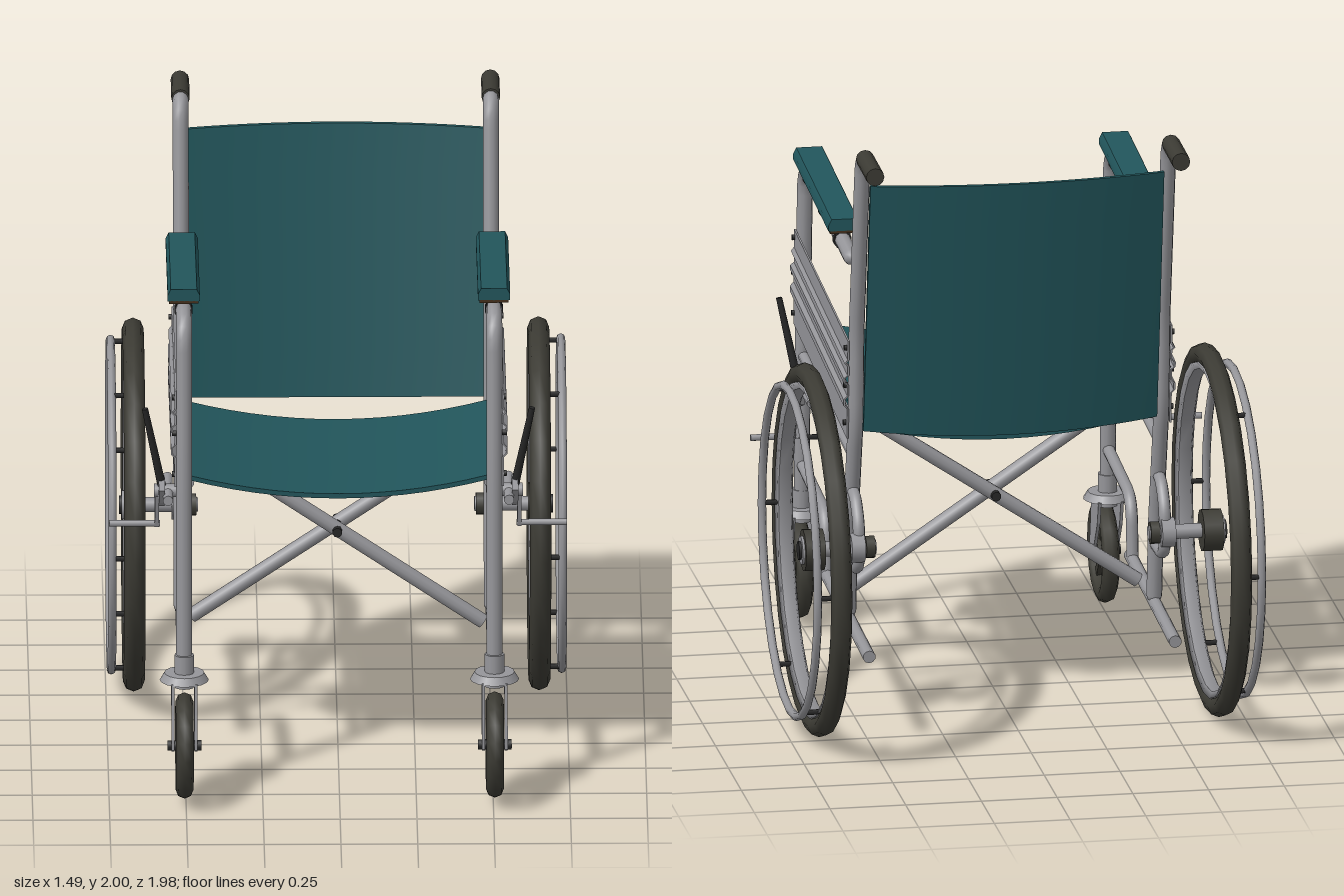
import * as THREE from 'three';

const mat = (name, color) => {
  const m = new THREE.MeshStandardMaterial({ color });
  m.name = name;
  return m;
};
const V = (x, y, z) => new THREE.Vector3(x, y, z);

export function createModel() {
  const root = new THREE.Group();
  root.name = 'wheelchair';
  const metal = mat('grey metal', 0x96969a);
  const rubber = mat('dark rubber', 0x3c3b34);
  const fabric = mat('teal fabric', 0x22565c);
  const black = mat('black plastic', 0x262626);
  const brown = mat('brown pad base', 0x45301c);

  const add = (name, geo, material, parent = root) => {
    const m = new THREE.Mesh(geo, material);
    m.name = name;
    parent.add(m);
    return m;
  };

  // Straight capped rod between two points
  const rod = (name, a, b, r, material, parent, sides = 10, r2 = r) => {
    const d = b.clone().sub(a);
    const m = add(name, new THREE.CylinderGeometry(r2, r, d.length(), sides), material, parent);
    m.position.copy(a).add(b).multiplyScalar(0.5);
    m.quaternion.setFromUnitVectors(V(0, 1, 0), d.normalize());
    return m;
  };

  // Bent tube through [z, y] points at a fixed x, with rounded corners
  const bentTube = (name, x, pts, r, bend, parent) => {
    const p = pts.map(([z, y]) => V(x, y, z));
    const path = new THREE.CurvePath();
    let from = p[0];
    for (let i = 1; i < p.length - 1; i++) {
      const toward = (q) => p[i].clone().add(q.clone().sub(p[i]).setLength(Math.min(bend, q.distanceTo(p[i]) * 0.45)));
      const a = toward(p[i - 1]), b = toward(p[i + 1]);
      path.add(new THREE.LineCurve3(from, a));
      path.add(new THREE.QuadraticBezierCurve3(a, p[i], b));
      from = b;
    }
    path.add(new THREE.LineCurve3(from, p[p.length - 1]));
    add(name, new THREE.TubeGeometry(path, 56, r, 10), metal, parent);
    for (const e of [p[0], p[p.length - 1]]) {
      add(name + 'End', new THREE.SphereGeometry(r, 10, 6), metal, parent).position.copy(e);
    }
  };

  // Flat plate from [z, y] points, facing sideways
  const plate = (name, pts, x, thick, material, parent) => {
    const shape = new THREE.Shape(pts.map(([z, y]) => new THREE.Vector2(z, y)));
    const g = new THREE.ExtrudeGeometry(shape, { depth: thick, bevelEnabled: false });
    g.translate(0, 0, -thick / 2).rotateY(-Math.PI / 2).translate(x, 0, 0);
    return add(name, g, material, parent);
  };

  // Box whose vertices are moved by a rule
  const warped = (name, seg, rule, material, parent) => {
    const g = new THREE.BoxGeometry(1, 1, 1, ...seg);
    const p = g.attributes.position;
    for (let i = 0; i < p.count; i++) p.setXYZ(i, ...rule(p.getX(i), p.getY(i), p.getZ(i)));
    g.computeVertexNormals();
    return add(name, g, material, parent);
  };

  const ring = (name, R, r, x, material, parent, sides = 28) =>
    add(name, new THREE.TorusGeometry(R, r, 8, sides).rotateY(Math.PI / 2).translate(x, 0, 0), material, parent);
  const lerp = THREE.MathUtils.lerp;

  // Sagging seat and backrest slings
  warped('seat', [14, 1, 4], (x, y, z) => [
    x * 0.98, lerp(1.0, 1.065, z + 0.5) - 0.065 * (1 - 4 * x * x) + y * 0.016, lerp(-0.27, 0.665, z + 0.5),
  ], fabric);
  warped('backrest', [14, 6, 1], (x, y, z) => [
    x * 0.97, lerp(1.0, 1.875, y + 0.5) - 0.02 * (1 - 4 * x * x) * (0.5 - y),
    lerp(-0.335, -0.475, y + 0.5) - 0.055 * (1 - 4 * x * x) + z * 0.016,
  ], fabric);

  // Folding cross brace
  for (const s of [1, -1]) {
    rod('crossBrace', V(-0.475 * s, 0.99, 0.033 * s), V(0.475 * s, 0.35, 0.033 * s), 0.024, metal);
  }
  rod('bracePivot', V(0, 0.67, -0.075), V(0, 0.67, 0.075), 0.016, black);

  for (const s of [1, -1]) {
    const side = new THREE.Group();
    side.name = s > 0 ? 'leftSide' : 'rightSide';
    root.add(side);
    const X = 0.505 * s;

    // Side frame tubes
    bentTube('armFrame', X, [[0.735, 0.4], [0.705, 1.1], [0.665, 1.61], [-0.22, 1.557]], 0.026, 0.1, side);
    bentTube('backPost', X, [[-0.17, 0.34], [-0.2, 0.6], [-0.31, 1.02], [-0.325, 1.32], [-0.45, 1.97], [-0.53, 1.972]], 0.026, 0.07, side);
    bentTube('lowerRail', X, [[0.72, 0.565], [0.27, 0.535], [0.25, 0.335]], 0.02, 0.09, side);
    rod('upperRail', V(X, 0.942, 0.7), V(X, 0.895, -0.26), 0.018, metal, side);
    rod('upperRailSleeve', V(X, 0.936, 0.52), V(X, 0.922, 0.24), 0.025, metal, side);
    rod('bottomRail', V(X, 0.335, 0.295), V(X, 0.302, -0.575), 0.021, metal, side);
    rod('seatRail', V(0.485 * s, 1.045, 0.66), V(0.485 * s, 0.982, -0.26), 0.014, metal, side);
    rod('handGrip', V(X, 1.973, -0.49), V(X, 1.97, -0.69), 0.03, rubber, side, 12);

    // Padded armrest on three clips
    const padY = (z) => 1.628 + (z + 0.095) * 0.056;
    warped('armPad', [2, 2, 6], (x, y, z) => {
      const zz = lerp(-0.095, 0.59, z + 0.5);
      return [X + x * (y > 0.2 ? 0.085 : 0.105), padY(zz) + y * 0.04, zz];
    }, fabric, side);
    warped('armPadBase', [1, 1, 1], (x, y, z) => {
      const zz = lerp(-0.095, 0.59, z + 0.5);
      return [X + x * 0.095, padY(zz) - 0.024 + y * 0.009, zz];
    }, brown, side);
    for (const z of [0.53, 0.23, -0.05]) {
      rod('armClip', V(X, padY(z) - 0.065, z - 0.011), V(X, padY(z) - 0.065, z + 0.011), 0.031, black, side);
      const c = add('armClipStem', new THREE.BoxGeometry(0.05, 0.045, 0.022), black, side);
      c.position.set(X, padY(z) - 0.038, z);
    }

    // Ribbed skirt panel: cross-section swept front to back and tapered
    const profile = [[0, 0], [0.3, 0], [0.34, 0.012], [0.4, 0.012], [0.44, 0], [0.54, 0], [0.57, 0.012], [0.62, 0.012], [0.65, 0], [0.74, 0], [0.77, 0.01], [0.81, 0], [1, 0]];
    const outer = profile.map(([t, d]) => new THREE.Vector2(s * (0.536 + d), t));
    const inner = profile.map(([t, d]) => new THREE.Vector2(s * (0.53 + d), t)).reverse();
    const pg = new THREE.ExtrudeGeometry(new THREE.Shape([...outer, ...inner]), { depth: 1, bevelEnabled: false });
    const pp = pg.attributes.position;
    for (let i = 0; i < pp.count; i++) {
      const t = pp.getY(i), k = pp.getZ(i);
      pp.setY(i, lerp(lerp(0.97, 1.05, k), lerp(1.308, 1.375, k), t));
      pp.setZ(i, lerp(lerp(-0.32, 0.715, k), lerp(-0.342, 0.7, k), t));
    }
    pg.computeVertexNormals();
    add('skirtPanel', pg, metal, side);
    for (const [z, y] of [[0.69, 1.35], [0.7, 1.23], [0.7, 1.09], [-0.32, 1.28], [-0.31, 1.15], [-0.3, 1.02]]) {
      rod('panelBolt', V(s * 0.53, y, z), V(s * 0.545, y, z), 0.01, black, side, 8);
    }

    // Rear wheel with push rim
    const wheel = new THREE.Group();
    wheel.name = 'rearWheel';
    wheel.position.set(0.66 * s, 0.615, -0.375);
    side.add(wheel);
    ring('tire', 0.577, 0.035, 0, rubber, wheel);
    const rimPts = [[0.528, -0.02], [0.55, -0.03], [0.55, 0.03], [0.528, 0.02], [0.528, -0.02]].map(([r, y]) => new THREE.Vector2(r, y));
    const rimMat = metal.clone();
    rimMat.name = 'rim metal';
    rimMat.side = THREE.DoubleSide;
    add('rim', new THREE.LatheGeometry(rimPts, 28).rotateZ(Math.PI / 2), rimMat, wheel);
    ring('pushRim', 0.542, 0.014, 0.073 * s, metal, wheel);
    for (let i = 0; i < 6; i++) {
      const a = (i + 0.5) * Math.PI / 3;
      const y = 0.541 * Math.cos(a), z = 0.541 * Math.sin(a);
      rod('pushRimPin', V(0.01 * s, y, z), V(0.07 * s, y, z), 0.009, black, wheel, 6);
    }
    rod('valve', V(0, -0.33, -0.4), V(0, -0.3, -0.36), 0.008, black, wheel, 6);
    rod('hub', V(-0.035 * s, 0, 0), V(0.03 * s, 0, 0), 0.07, rubber, wheel, 12);
    rod('hubRing', V(0.03 * s, 0, 0), V(0.038 * s, 0, 0), 0.048, metal, wheel, 12);
    rod('hubCap', V(0.038 * s, 0, 0), V(0.046 * s, 0, 0), 0.032, black, wheel, 8);

    // Axle and its bracket
    rod('axle', V(0.45 * s, 0.615, -0.375), V(0.64 * s, 0.615, -0.375), 0.024, metal, side);
    rod('axleNut', V(0.455 * s, 0.615, -0.375), V(0.485 * s, 0.615, -0.375), 0.038, rubber, side, 8);
    rod('axleSleeve', V(0.49 * s, 0.615, -0.375), V(0.535 * s, 0.615, -0.375), 0.05, metal, side, 12);
    bentTube('axleBracket', X, [[-0.235, 0.775], [-0.31, 0.765], [-0.375, 0.69], [-0.375, 0.56], [-0.32, 0.525], [-0.19, 0.52]], 0.02, 0.04, side);

    // Front caster: collar, fork and spoked wheel
    const C = [0.195, 0.815];
    rod('casterCollar', V(X, 0.395, 0.737), V(X, 0.42, 0.737), 0.08, metal, side, 16, 0.065);
    rod('casterStem', V(X, 0.37, 0.737), V(X, 0.48, 0.735), 0.032, metal, side, 12);
    for (const d of [-0.037, 0.037]) {
      plate('forkBlade', [[0.805, 0.4], [0.665, 0.4], [0.69, 0.32], [0.785, 0.185], [0.81, 0.172], [0.838, 0.185], [0.838, 0.22], [0.82, 0.3]], X + d, 0.01, metal, side);
    }
    rod('casterAxle', V(X - 0.055, ...C), V(X + 0.055, ...C), 0.018, black, side, 8);
    const caster = new THREE.Group();
    caster.name = 'casterWheel';
    caster.position.set(X, ...C);
    side.add(caster);
    ring('casterTire', 0.146, 0.029, 0, rubber, caster, 18);
    rod('casterHub', V(-0.025, 0, 0), V(0.025, 0, 0), 0.04, rubber, caster, 12);
    for (let i = 0; i < 5; i++) {
      const a = i * Math.PI * 0.4;
      const b = add('casterSpoke', new THREE.BoxGeometry(0.025, 0.1, 0.03).translate(0, 0.08, 0), rubber, caster);
      b.rotation.x = a;
    }

    // Wheel brake: bracket, hand lever and push pin
    plate('brakePlate', [[0.48, 0.955], [0.4, 0.975], [0.36, 0.94], [0.31, 0.95], [0.33, 0.89], [0.38, 0.87], [0.44, 0.9]], 0.575 * s, 0.02, metal, side);
    rod('brakeClamp', V(0.5 * s, 0.93, 0.4), V(0.6 * s, 0.93, 0.4), 0.022, metal, side);
    rod('brakeMount', V(0.555 * s, 0.928, 0.5), V(0.555 * s, 0.922, 0.24), 0.017, metal, side);
    rod('brakeLever', V(0.575 * s, 0.95, 0.405), V(0.63 * s, 1.225, 0.44), 0.014, black, side, 8, 0.01);
    plate('brakeArm', [[0.37, 0.92], [0.335, 0.92], [0.305, 0.785], [0.33, 0.78]], 0.59 * s, 0.014, metal, side);
    rod('brakePin', V(0.58 * s, 0.79, 0.32), V(0.745 * s, 0.79, 0.32), 0.011, metal, side, 8);
  }
  return root;
}
